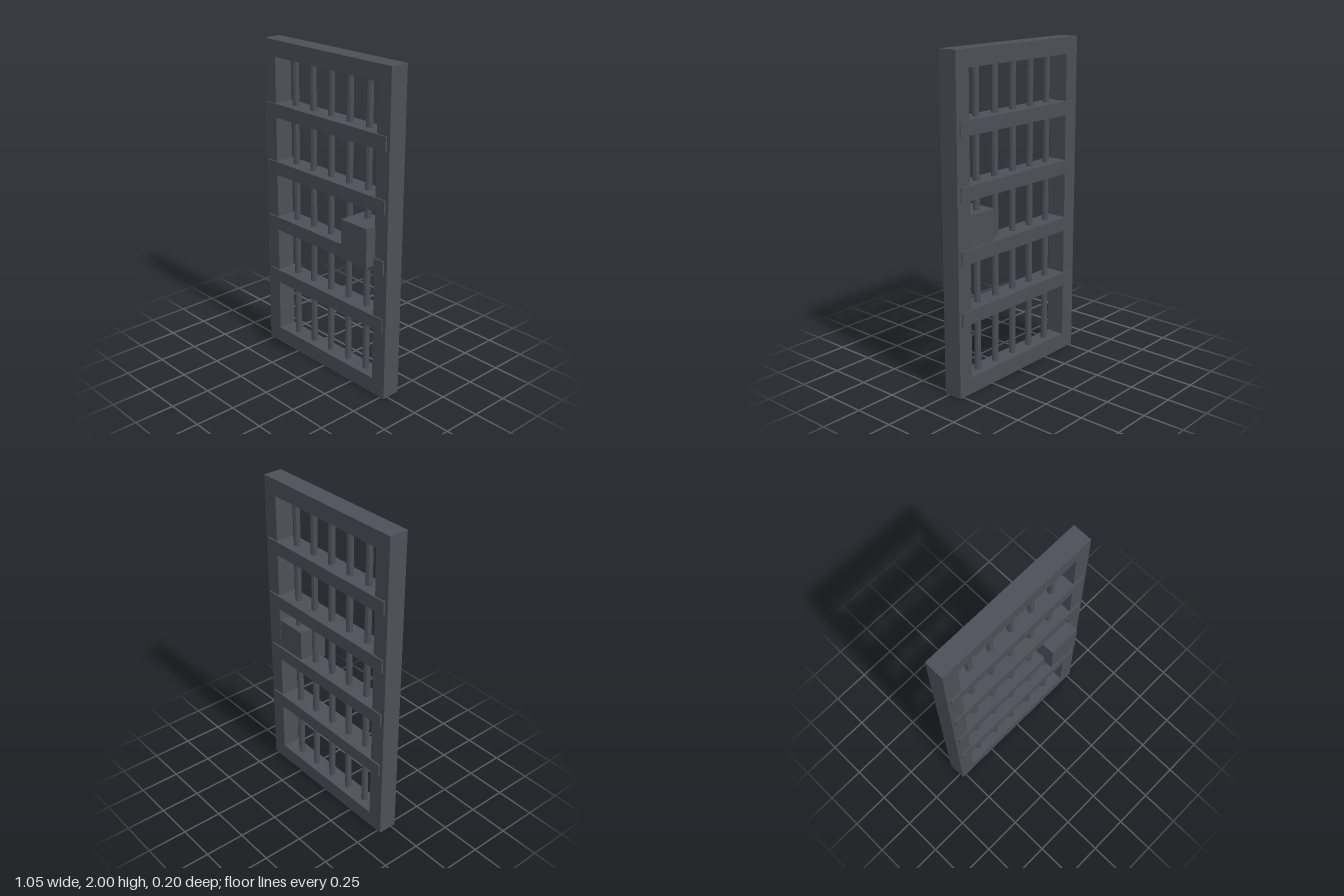
import * as THREE from 'three';

export function createModel() {
  const door = new THREE.Group();
  door.name = 'barredDoor';
  const iron = new THREE.MeshStandardMaterial({ color: 0x4c4f58 });
  iron.name = 'darkIron';
  iron.flatShading = true;

  const add = (name, geometry, x, y, z) => {
    const mesh = new THREE.Mesh(geometry, iron);
    mesh.name = name;
    mesh.position.set(x, y, z);
    door.add(mesh);
  };

  const midZ = -0.03;
  const halfW = 0.527, inner = 0.427, border = 0.1, depth = 0.12;

  // Outer frame with a rectangular opening
  const outline = new THREE.Shape();
  outline.moveTo(-halfW, 0).lineTo(halfW, 0).lineTo(halfW, 2).lineTo(-halfW, 2).closePath();
  const opening = new THREE.Path();
  opening.moveTo(-inner, border).lineTo(-inner, 2 - border)
    .lineTo(inner, 2 - border).lineTo(inner, border).closePath();
  outline.holes.push(opening);
  add('frame', new THREE.ExtrudeGeometry(outline, { depth, bevelEnabled: false }), 0, 0, midZ - depth / 2);

  // Upright bars
  for (let i = -2; i <= 2; i++) {
    add('bar', new THREE.CylinderGeometry(0.02, 0.02, 1.84, 8), i * 0.156, 1, midZ);
  }

  // Cross rails, slightly proud of the frame on both faces
  for (let i = 0; i < 4; i++) {
    add('crossRail', new THREE.BoxGeometry(1.01, 0.084, 0.14), 0, 0.481 + i * 0.365, midZ);
  }

  // Lock box
  add('lockBox', new THREE.BoxGeometry(0.208, 0.24, 0.187), 0.328, 0.96, 0.0065);

  return door;
}
